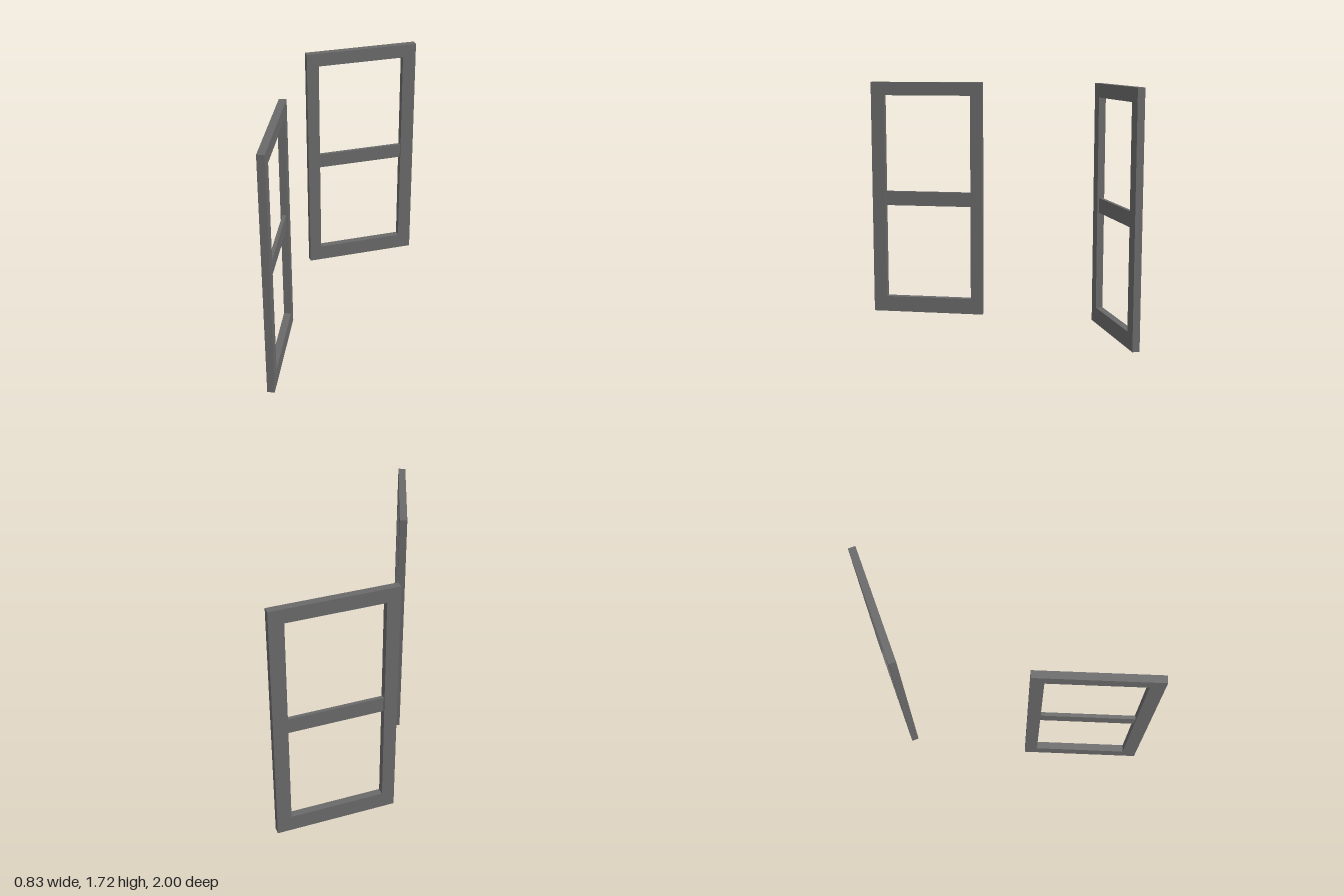
import * as THREE from 'three';

const WIDTH = 0.826, HEIGHT = 1.715, DEPTH = 0.05;
const LEFT = -WIDTH / 2 + 0.088, RIGHT = WIDTH / 2 - 0.098; // opening sides
const BOTTOM = 0.114, TOP = 1.619; // opening ends

const material = new THREE.MeshStandardMaterial({ color: 0x696969 });

function rectangle(target, x0, y0, x1, y1) {
  target.moveTo(x0, y0).lineTo(x1, y0).lineTo(x1, y1).lineTo(x0, y1).closePath();
  return target;
}

function createDoor(name) {
  const door = new THREE.Group();
  door.name = name;

  // Outer frame: stiles with top and bottom rails around one opening
  const outline = rectangle(new THREE.Shape(), -WIDTH / 2, 0, WIDTH / 2, HEIGHT);
  outline.holes.push(rectangle(new THREE.Path(), LEFT, BOTTOM, RIGHT, TOP));
  const frameGeometry = new THREE.ExtrudeGeometry(outline, { depth: DEPTH, bevelEnabled: false });
  frameGeometry.translate(0, 0, -DEPTH / 2);
  const frame = new THREE.Mesh(frameGeometry, material);
  frame.name = 'doorFrame';

  // Middle rail, set back from both faces
  const rail = new THREE.Mesh(new THREE.BoxGeometry(RIGHT - LEFT, 0.105, 0.025), material);
  rail.name = 'middleRail';
  rail.position.set((LEFT + RIGHT) / 2, 0.858, 0);

  door.add(frame, rail);
  return door;
}

export function createModel() {
  const model = new THREE.Group();
  model.name = 'doorPair';

  // Door standing edge-on to the front
  const sideDoor = createDoor('sideDoor');
  sideDoor.position.set(-0.392, 0, 1 - WIDTH / 2);
  sideDoor.rotation.y = -Math.PI / 2;

  // Door turned slightly at the back
  const backDoor = createDoor('backDoor');
  backDoor.position.set(0.025, 0, -0.819);
  backDoor.rotation.y = THREE.MathUtils.degToRad(22.5);

  model.add(sideDoor, backDoor);
  return model;
}
